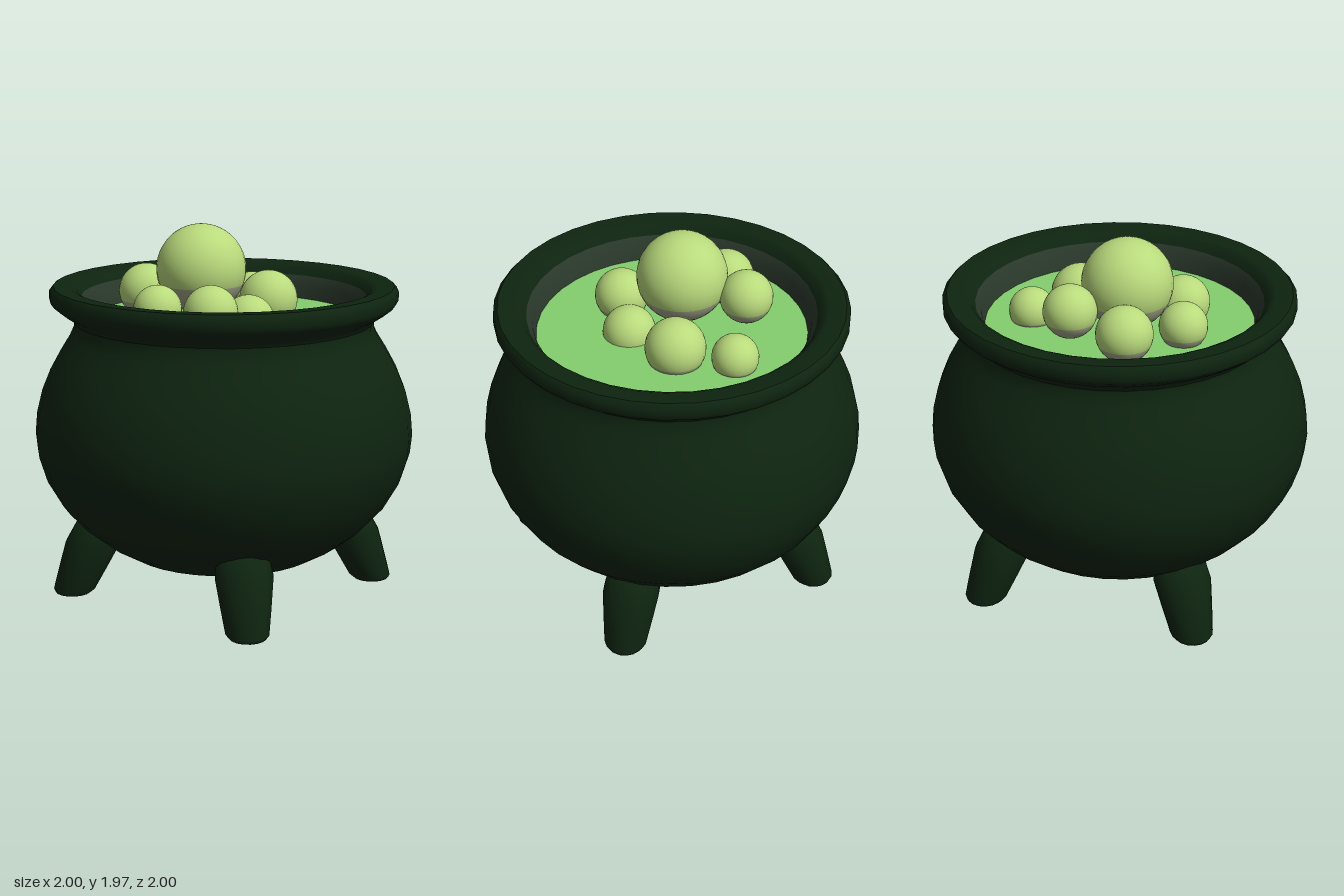
import * as THREE from 'three';

const material = (name, color, side = THREE.FrontSide) => {
  const m = new THREE.MeshStandardMaterial({ color, side });
  m.name = name;
  return m;
};

const lathe = (pts, segments) =>
  new THREE.LatheGeometry(pts.map(([r, y]) => new THREE.Vector2(r, y)), segments);

export function createModel() {
  const root = new THREE.Group();
  root.name = 'cauldron';

  const iron = material('dark green iron', 0x0e2410);
  const innerIron = material('grey inner iron', 0x2a382b, THREE.DoubleSide);
  const brew = material('green brew', 0x84cf6e);
  const bubbleTop = material('pale green bubble', 0xb9da7c);
  const bubbleBase = material('grey green bubble', 0xa3a88a);

  const add = (name, geometry, mat, parent = root) => {
    const mesh = new THREE.Mesh(geometry, mat);
    mesh.name = name;
    parent.add(mesh);
    return mesh;
  };

  // Round belly up to the neck
  add('belly', lathe([
    [0, 0.16], [0.22, 0.163], [0.4, 0.18], [0.53, 0.225], [0.65, 0.295], [0.77, 0.39],
    [0.87, 0.5], [0.95, 0.64], [0.99, 0.77], [1, 0.87], [0.99, 0.98], [0.96, 1.1],
    [0.915, 1.21], [0.86, 1.31], [0.81, 1.39], [0.787, 1.44], [0.787, 1.48],
  ], 36), iron);

  // Flared lip: underside, outer band, flat top and rounded inner edge
  add('lipUnderside', lathe([[0.787, 1.47], [0.8, 1.495], [0.85, 1.525], [0.895, 1.56]], 36), iron);
  add('lipBand', lathe([[0.895, 1.56], [0.912, 1.585], [0.912, 1.63], [0.89, 1.655]], 36), iron);
  add('lipTop', lathe([[0.89, 1.655], [0.8, 1.65], [0.77, 1.635], [0.745, 1.6]], 36), iron);
  add('innerWall', lathe([[0.745, 1.6], [0.715, 1.55], [0.695, 1.46]], 36), innerIron);

  // Liquid surface
  const surface = add('brew', new THREE.CircleGeometry(0.7, 36), brew);
  surface.rotation.x = -Math.PI / 2;
  surface.position.y = 1.48;

  // Four splayed legs, each a tapered column sheared towards the pot
  for (const sx of [-1, 1]) {
    for (const sz of [-1, 1]) {
      const g = lathe([[0, 0], [0.095, 0], [0.112, 0.02], [0.132, 0.15], [0.15, 0.28],
        [0.13, 0.41], [0, 0.44]], 16);
      const p = g.attributes.position;
      for (let i = 0; i < p.count; i++) {
        const offset = 0.58 - 0.29 * p.getY(i);
        p.setX(i, p.getX(i) + sx * offset);
        p.setZ(i, p.getZ(i) + sz * offset);
      }
      g.computeVertexNormals();
      add('leg', g, iron);
    }
  }

  // Bubbles: x, y, z, radius; the lower cap is greyer
  const bubbles = [
    [-0.07, 1.735, -0.095, 0.235], [-0.15, 1.6, -0.4, 0.145], [0.15, 1.66, -0.35, 0.138],
    [-0.38, 1.56, -0.14, 0.125], [-0.3, 1.56, 0.14, 0.14], [-0.07, 1.49, 0.21, 0.137],
    [0.25, 1.55, 0.11, 0.155], [0.435, 1.53, -0.13, 0.12],
  ];
  const split = Math.acos(-0.33);
  for (const [x, y, z, r] of bubbles) {
    const bubble = new THREE.Group();
    bubble.name = 'bubble';
    bubble.position.set(x, y, z);
    add('bubbleTop', new THREE.SphereGeometry(r, 28, 16, 0, Math.PI * 2, 0, split), bubbleTop, bubble);
    add('bubbleBase', new THREE.SphereGeometry(r, 28, 8, 0, Math.PI * 2, split, Math.PI - split),
      bubbleBase, bubble);
    root.add(bubble);
  }

  return root;
}
